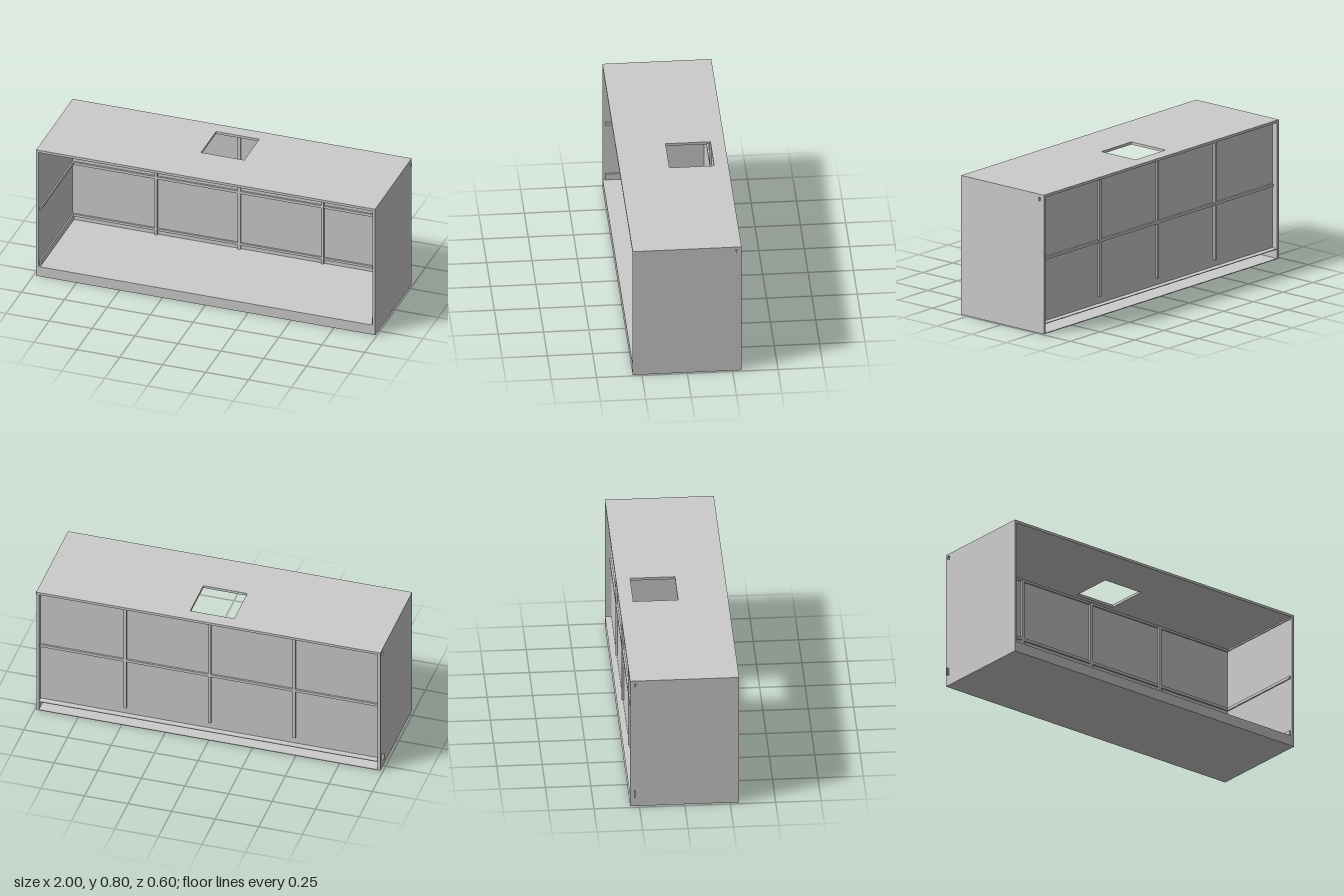
import * as THREE from 'three';

const material = new THREE.MeshStandardMaterial({ color: 0xcccccc, flatShading: true });

// Extents of the shell
const X0 = -0.985, X1 = 0.99, Z = 0.3, TOP = 0.795, SKIN = 0.015, FLOOR = 0.06;
const BACK = -0.262; // recessed rear panel

export function createModel() {
  const model = new THREE.Group();
  model.name = 'openCabin';

  // Box given by its two opposite corners
  function box(name, x0, x1, y0, y1, z0, z1) {
    const mesh = new THREE.Mesh(new THREE.BoxGeometry(x1 - x0, y1 - y0, z1 - z0), material);
    mesh.position.set((x0 + x1) / 2, (y0 + y1) / 2, (z0 + z1) / 2);
    mesh.name = name;
    model.add(mesh);
  }

  // Side walls
  box('rightWall', X0, X0 + SKIN, 0, TOP, -Z, Z);
  box('leftWall', X1 - SKIN, X1, 0, TOP, -Z, Z);
  const IX0 = X0 + SKIN, IX1 = X1 - SKIN;

  // Hollow floor, open at the rear
  box('basePlate', IX0, IX1, 0, 0.004, -Z, Z);
  box('floorPlate', IX0, IX1, FLOOR - 0.004, FLOOR, -Z, Z);
  box('frontSill', IX0, IX1, 0.004, FLOOR - 0.004, Z - 0.01, Z);

  // Roof with a square hatch
  const roofShape = new THREE.Shape();
  roofShape.moveTo(IX0, -Z).lineTo(IX1, -Z).lineTo(IX1, Z).lineTo(IX0, Z).closePath();
  const hatch = new THREE.Path();
  hatch.moveTo(-0.122, -0.025).lineTo(-0.122, 0.222).lineTo(0.13, 0.222).lineTo(0.13, -0.025).closePath();
  roofShape.holes.push(hatch);
  const roof = new THREE.Mesh(
    new THREE.ExtrudeGeometry(roofShape, { depth: SKIN, bevelEnabled: false }), material);
  roof.name = 'roof';
  roof.rotation.x = -Math.PI / 2;
  roof.position.y = TOP - SKIN;
  model.add(roof);

  // Rear panel with posts and rails
  box('rearPanel', IX0, IX1, FLOOR, TOP - SKIN, BACK - 0.003, BACK + 0.003);
  for (const x of [-0.482, 0.003, 0.488]) {
    box('rearPostInner', x - 0.008, x + 0.008, FLOOR, TOP - SKIN, BACK, BACK + 0.015);
    box('rearPostOuter', x - 0.008, x + 0.008, 0.1, 0.766, BACK - 0.015, BACK);
  }
  box('rearMiddleRail', IX0, IX1, 0.411, 0.427, BACK - 0.013, BACK + 0.013);
  box('rearBottomRail', IX0, IX1, 0.085, 0.099, BACK, BACK + 0.012);
  box('rearTopRail', IX0, IX1, 0.768, TOP - SKIN, BACK, BACK + 0.012);

  // Rails along the inside of the side walls
  for (const [name, y0, y1, depth] of [
    ['sideMiddleRail', 0.411, 0.427, 0.008],
    ['sideBottomRail', FLOOR, 0.097, 0.008],
    ['sideTopRail', 0.772, TOP - SKIN, 0.006],
  ]) {
    box(name, IX0, IX0 + depth, y0, y1, BACK, Z - 0.012);
    box(name, IX1 - depth, IX1, y0, y1, BACK, Z - 0.012);
  }

  // Small angled hooks on the outer walls, near the rear
  for (const [outer, wall] of [[-0.994, X0], [1, X1]]) {
    const a = Math.min(outer, wall), b = Math.max(outer, wall);
    box('upperHook', a, b, 0.76, 0.778, -0.275, -0.271);
    box('upperHookLip', a, b, 0.774, 0.778, -0.271, -0.265);
  }
  box('lowerTab', -1, X0, 0.06, 0.1, -0.279, -0.272);

  return model;
}
